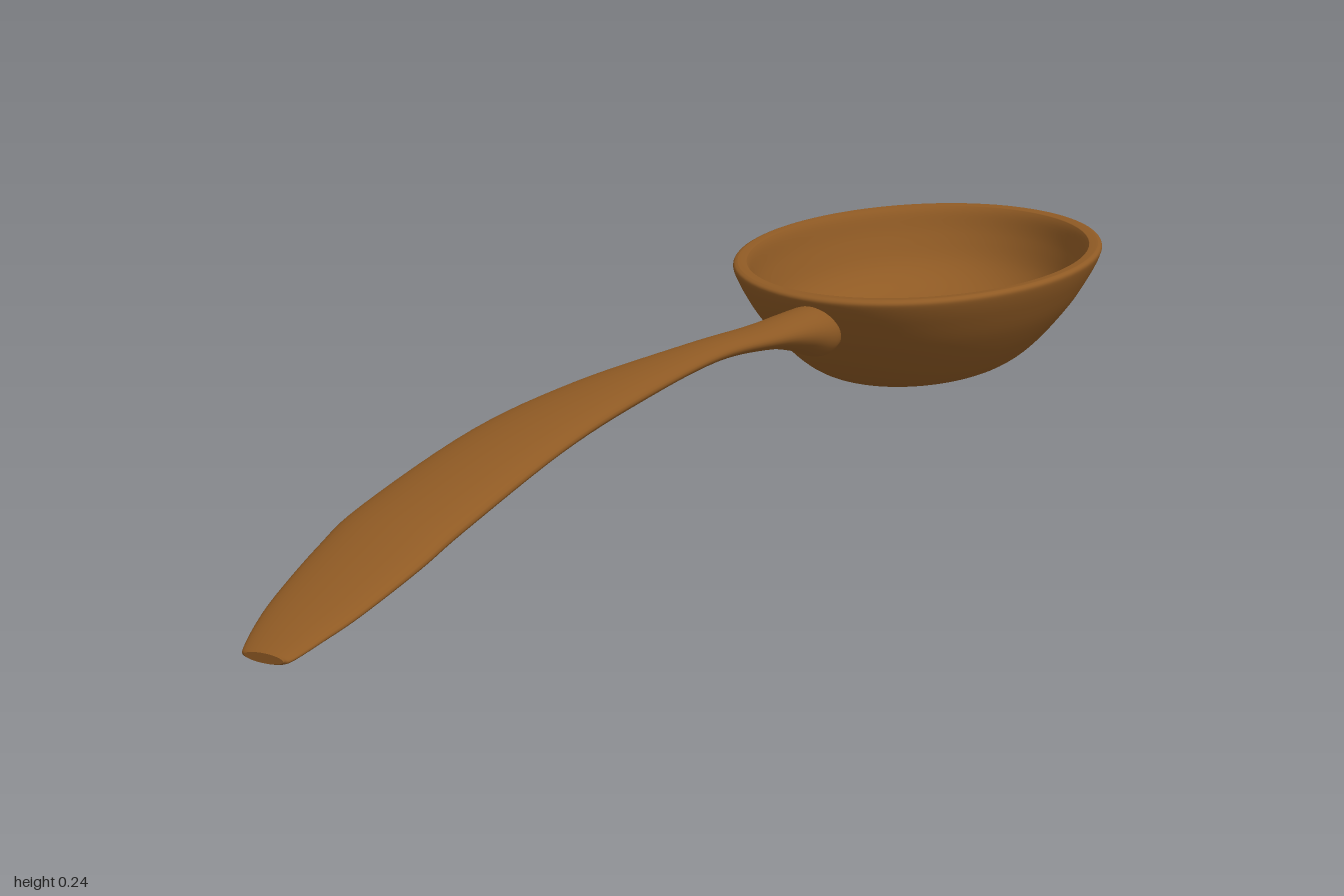
import * as THREE from 'three';

const wood = new THREE.MeshStandardMaterial({ color: 0x8f5a24 });
wood.name = 'brown wood';

const spline = (pts, n) =>
  new THREE.SplineCurve(pts.map(([x, y]) => new THREE.Vector2(x, y))).getPoints(n);

// Oval bowl: outer wall, rounded lip and hollow turned as one profile
function bowlGeometry() {
  const outer = spline([[0, 0], [0.25, 0.002], [0.45, 0.01], [0.58, 0.022], [0.71, 0.052],
    [0.855, 0.1], [0.945, 0.14], [0.99, 0.166], [0.992, 0.175], [0.97, 0.178]], 44);
  const inner = spline([[0.925, 0.177], [0.905, 0.165], [0.87, 0.13], [0.8, 0.086],
    [0.68, 0.054], [0.5, 0.036], [0.25, 0.028], [0, 0.026]], 36);
  outer[0].x = inner[inner.length - 1].x = 0;
  const geo = new THREE.LatheGeometry([...outer, ...inner], 72);
  geo.scale(0.259, 1, 0.363);
  // The lip rises gently towards the handle
  const p = geo.attributes.position;
  for (let i = 0; i < p.count; i++) {
    p.setY(i, p.getY(i) * (1 + 0.09 * p.getX(i) + 0.22 * p.getZ(i)));
  }
  return geo;
}

// Arched handle: oval cross-sections [distance, half width, bottom, top]
function handleGeometry() {
  const sections = [
    [0.318, 0.034, 0.1, 0.158], [0.35, 0.041, 0.1, 0.175], [0.42, 0.038, 0.127, 0.182],
    [0.52, 0.034, 0.155, 0.19], [0.7, 0.033, 0.184, 0.211], [0.97, 0.054, 0.199, 0.232],
    [1.2, 0.068, 0.199, 0.234], [1.45, 0.074, 0.173, 0.212], [1.55, 0.071, 0.157, 0.191],
    [1.66, 0.059, 0.138, 0.165], [1.72, 0.047, 0.128, 0.15], [1.765, 0.034, 0.12, 0.136],
    [1.774, 0.026, 0.121, 0.133],
  ];
  const curve = (f) => new THREE.CatmullRomCurve3(sections.map(f), false, 'catmullrom');
  const middle = curve(([s, w, b, t]) => new THREE.Vector3(-0.014, (b + t) / 2, s));
  const radii = curve(([s, w, b, t]) => new THREE.Vector3(w, (t - b) / 2, s));
  const rings = 72, sides = 32, position = [], index = [];

  const addRing = (t, scale) => {
    const c = middle.getPoint(t), r = radii.getPoint(t);
    for (let j = 0; j < sides; j++) {
      const a = (j / sides) * Math.PI * 2;
      position.push(c.x + Math.cos(a) * r.x * scale, c.y + Math.sin(a) * r.y * scale, c.z);
    }
  };
  // Closed start, body, then a crisp end face
  addRing(0, 0.001);
  addRing(0, 1);
  for (let i = 0; i <= rings; i++) addRing(i / rings, 1);
  addRing(1, 1);
  addRing(1, 0.001);

  const count = position.length / 3 / sides;
  for (let i = 0; i < count - 1; i++) {
    if (i === 1 || i === count - 3) continue; // creased edges
    for (let j = 0; j < sides; j++) {
      const a = i * sides + j, b = i * sides + ((j + 1) % sides);
      index.push(a, b, a + sides, b, b + sides, a + sides);
    }
  }
  const geo = new THREE.BufferGeometry();
  geo.setAttribute('position', new THREE.Float32BufferAttribute(position, 3));
  geo.setIndex(index);
  geo.computeVertexNormals();
  return geo;
}

export function createModel() {
  const spoon = new THREE.Group();
  spoon.name = 'spoon';
  for (const [name, geo] of [['bowl', bowlGeometry()], ['handle', handleGeometry()]]) {
    const mesh = new THREE.Mesh(geo, wood);
    mesh.name = name;
    spoon.add(mesh);
  }
  // Lies diagonally, bowl to the back right
  spoon.rotation.y = 0.394;
  spoon.position.set(-0.21, 0, -0.652);
  const model = new THREE.Group();
  model.name = 'woodenSpoon';
  model.add(spoon);
  return model;
}
